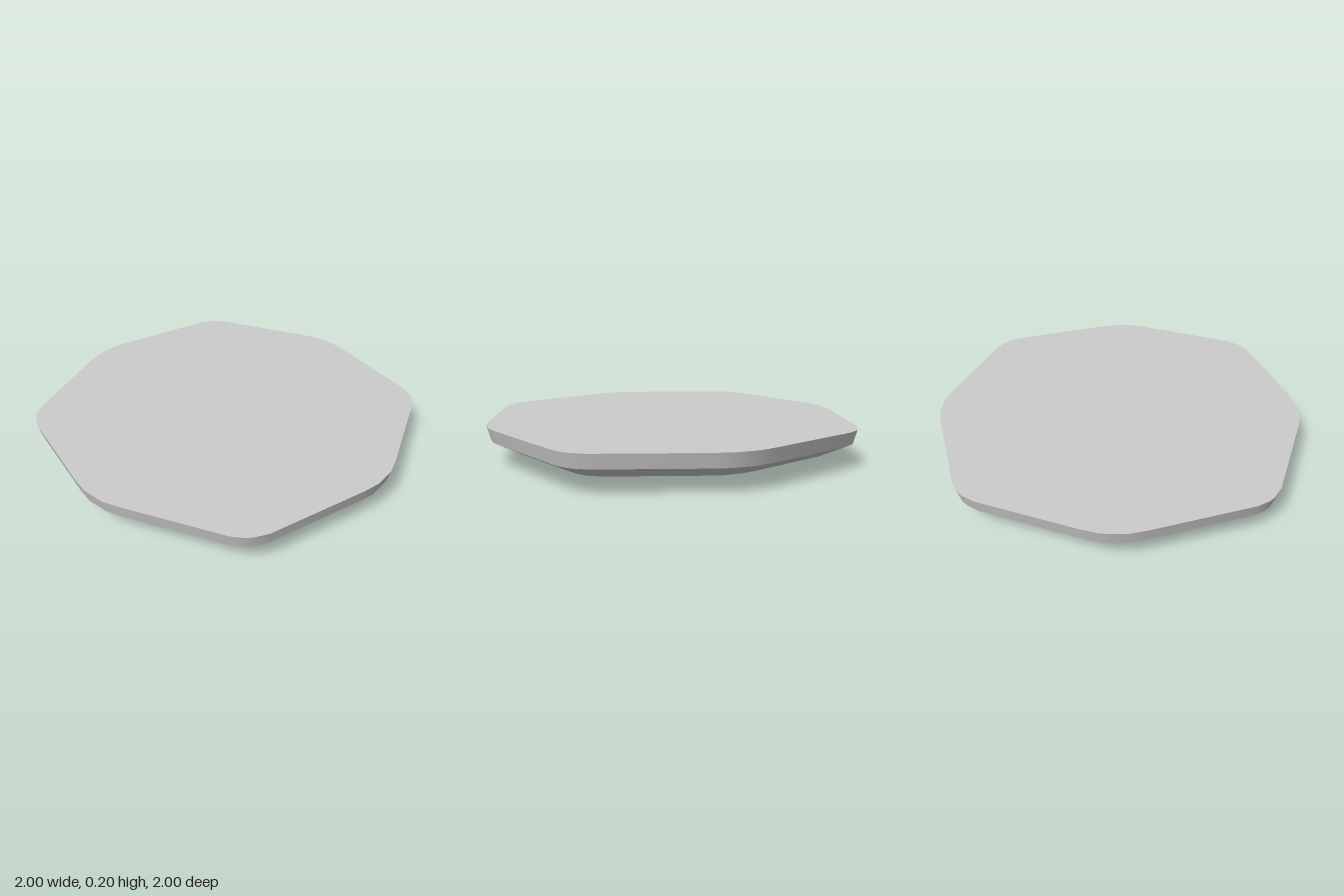
import * as THREE from 'three';
import { toCreasedNormals } from 'three/addons/utils/BufferGeometryUtils.js';

// One quarter of the rounded octagon outline, as [x, z]; turned four times it closes.
const quarter = [
  [1, -0.06], [1, 0.06], [0.975, 0.155], [0.8, 0.67], [0.76, 0.735],
  [0.73, 0.765], [0.67, 0.8], [0.155, 0.975],
];

// Scale of the outline and height, from the rim down to the underside.
const profile = [
  [1, 0.2], [0.98, 0.125], [0.92, 0.095], [0.85, 0.06], [0.75, 0.037],
  [0.63, 0.022], [0.4, 0.013], [0.15, 0.003],
];

function outlinePoints() {
  const points = [];
  for (let turn = 0; turn < 4; turn++) {
    for (const [px, pz] of quarter) {
      let x = px, z = pz;
      for (let i = 0; i < turn; i++) [x, z] = [-z, x];
      points.push([x, z]);
    }
  }
  return points;
}

function dishGeometry() {
  const outline = outlinePoints();
  const n = outline.length;
  const positions = [];
  const indices = [];

  for (const [scale, y] of profile) {
    for (const [x, z] of outline) positions.push(x * scale, y, z * scale);
  }
  const topCentre = positions.length / 3;
  positions.push(0, profile[0][1], 0, 0, 0, 0);
  const bottomCentre = topCentre + 1;
  const lastRing = (profile.length - 1) * n;

  for (let j = 0; j < n; j++) {
    const k = (j + 1) % n;
    // Curved wall between neighbouring rings
    for (let r = 0; r < lastRing; r += n) {
      indices.push(r + j, r + k, r + n + j, r + k, r + n + k, r + n + j);
    }
    // Flat top and closed underside
    indices.push(topCentre, k, j);
    indices.push(bottomCentre, lastRing + j, lastRing + k);
  }

  const geometry = new THREE.BufferGeometry();
  geometry.setAttribute('position', new THREE.Float32BufferAttribute(positions, 3));
  geometry.setIndex(indices);
  return toCreasedNormals(geometry, 0.5);
}

export function createModel() {
  const group = new THREE.Group();
  group.name = 'octagonalSlab';
  const slab = new THREE.Mesh(dishGeometry(), new THREE.MeshStandardMaterial({ color: 0xcccccc }));
  slab.name = 'slab';
  group.add(slab);
  return group;
}
